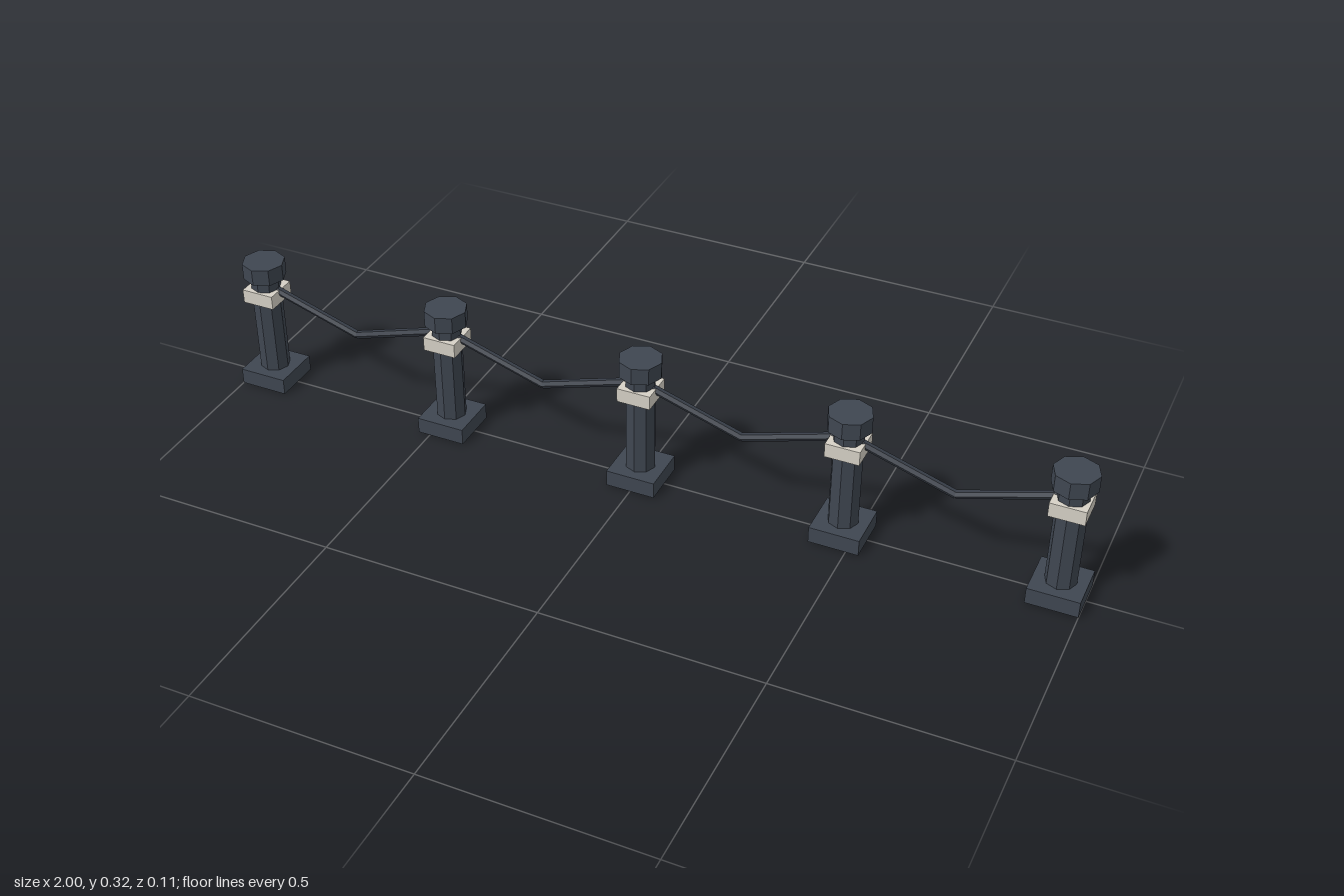
import * as THREE from 'three';

const POSTS = 5, SPACING = 0.4718;
const iron = new THREE.MeshStandardMaterial({ color: 0x3f4651, flatShading: true });
const chainIron = new THREE.MeshStandardMaterial({ color: 0x373d47, flatShading: true });
const pale = new THREE.MeshStandardMaterial({ color: 0xd6d1c6, flatShading: true });

function part(parent, name, geometry, material, y = 0) {
  const mesh = new THREE.Mesh(geometry, material);
  mesh.name = name;
  mesh.position.y = y;
  parent.add(mesh);
  return mesh;
}

// Straight bar between two points
function bar(parent, name, a, b, radius) {
  const dir = b.clone().sub(a);
  const mesh = part(parent, name, new THREE.CylinderGeometry(radius, radius, dir.length(), 6), chainIron);
  mesh.position.copy(a).add(b).multiplyScalar(0.5);
  mesh.quaternion.setFromUnitVectors(new THREE.Vector3(0, 1, 0), dir.normalize());
}

function makePost() {
  const post = new THREE.Group();
  part(post, 'base', new THREE.BoxGeometry(0.113, 0.038, 0.113), iron, 0.019);
  part(post, 'shaft', new THREE.CylinderGeometry(0.034, 0.034, 0.242, 8), iron, 0.158);
  part(post, 'band', new THREE.BoxGeometry(0.077, 0.033, 0.077), pale, 0.234);
  part(post, 'cap', new THREE.CylinderGeometry(0.049, 0.049, 0.039, 8), iron, 0.2975);
  return post;
}

export function createModel() {
  const model = new THREE.Group();
  model.name = 'bollardFence';
  for (let i = 0; i < POSTS; i++) {
    const x = (i - (POSTS - 1) / 2) * SPACING;
    const post = makePost();
    post.name = 'bollard';
    post.position.x = x;
    model.add(post);

    // Sagging link to the next bollard, in two halves
    if (i < POSTS - 1) {
      const link = new THREE.Group();
      link.name = 'chain';
      link.position.x = x + SPACING / 2;
      const low = new THREE.Vector3(0, 0.181, 0);
      for (const side of [-1, 1]) {
        const end = new THREE.Vector3(side * (SPACING / 2 - 0.025), 0.248, 0);
        bar(link, 'chainHalf', end, low, 0.0095);
      }
      model.add(link);
    }
  }
  return model;
}
